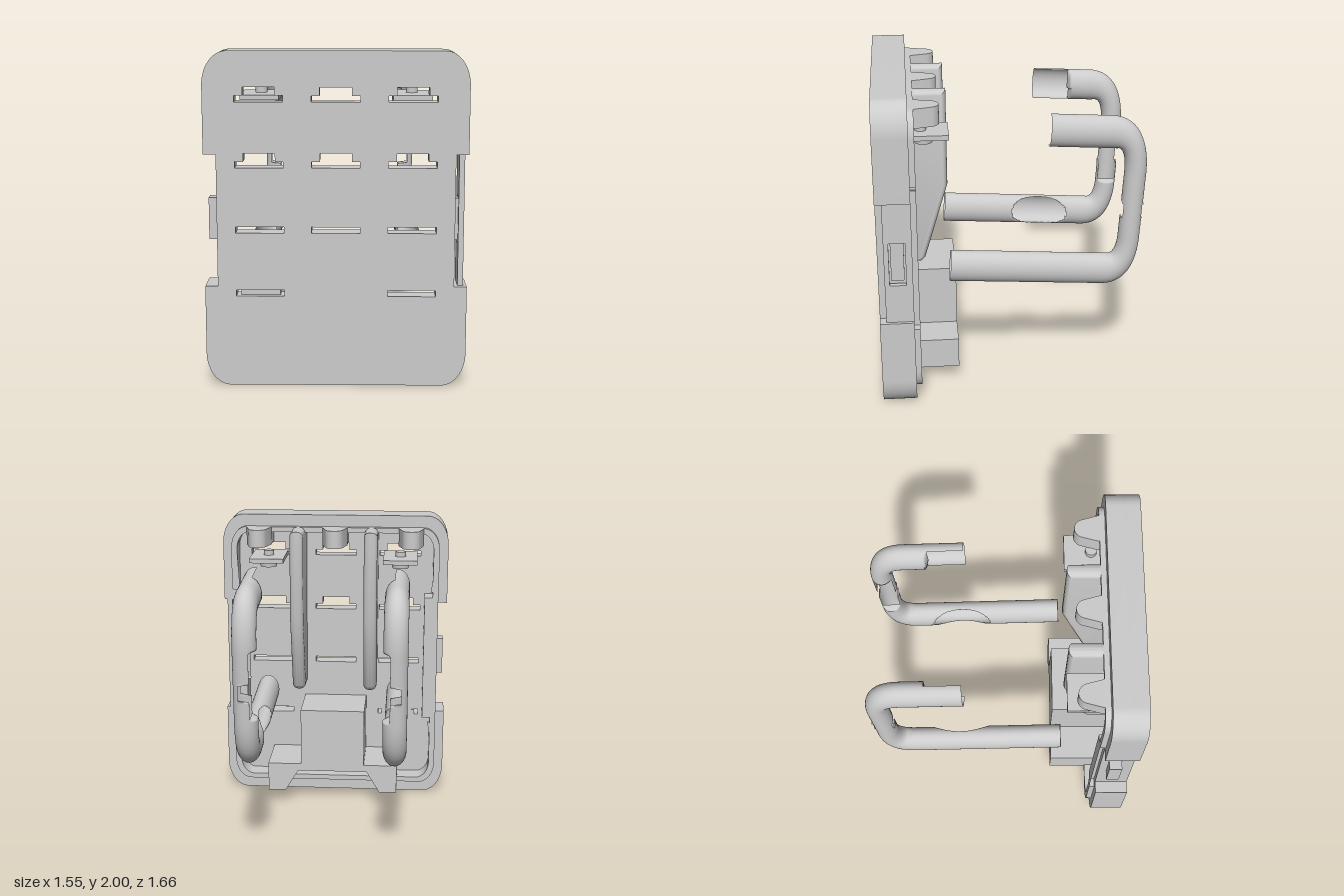
import * as THREE from 'three';
import { toCreasedNormals } from 'three/addons/utils/BufferGeometryUtils.js';

const grey = new THREE.MeshStandardMaterial({ color: 0xcccccc });
const greyOpen = new THREE.MeshStandardMaterial({ color: 0xcccccc, side: THREE.DoubleSide });

const poly = (pts) => new THREE.Shape(pts.map(([x, y]) => new THREE.Vector2(x, y)));
const rect = (x0, x1, y0, y1) => poly([[x0, y0], [x1, y0], [x1, y1], [x0, y1]]);

function extrude(shape, depth, opts = {}) {
  const g = new THREE.ExtrudeGeometry(shape, { depth, bevelEnabled: false, curveSegments: 14, ...opts });
  return toCreasedNormals(g, 0.5);
}

// Rounded rectangle whose long sides step in to x = nx between n0 and n1
function panelShape(w, y0, y1, rx, ry, [nx, n0, n1]) {
  const s = new THREE.Shape();
  s.moveTo(-w + rx, y0);
  s.lineTo(w - rx, y0);
  s.absellipse(w - rx, y0 + ry, rx, ry, -Math.PI / 2, 0);
  for (const [x, y] of [[w, n0], [nx, n0], [nx, n1], [w, n1]]) s.lineTo(x, y);
  s.absellipse(w - rx, y1 - ry, rx, ry, 0, Math.PI / 2);
  s.absellipse(-w + rx, y1 - ry, rx, ry, Math.PI / 2, Math.PI);
  for (const [x, y] of [[-w, n1], [-nx, n1], [-nx, n0], [-w, n0]]) s.lineTo(x, y);
  s.absellipse(-w + rx, y0 + ry, rx, ry, Math.PI, Math.PI * 1.5);
  return s;
}

// Everything on a handle with x below this limit is cut away
function handleCut(y, z, alongZ) {
  if (!alongZ) {
    if (y > 1.12 && y < 1.22) return 0.483;
    return y > 1.0 && y < 1.42 ? 0.415 : 0;
  }
  if (y > 1.3) return z > -0.46 ? 0.43 : 0;
  const d = z + 0.27, r = 0.356;
  return Math.abs(d) < r ? 0.074 + Math.sqrt(r * r - d * d) : 0;
}

// Hollow handle with an oval section and cut-outs on its inner side
function handleGeometry() {
  const v = (z, y) => new THREE.Vector3(0, y, z);
  const path = new THREE.CurvePath();
  path.add(new THREE.LineCurve3(v(0.385, 0.823), v(-0.57, 0.762)));
  path.add(new THREE.QuadraticBezierCurve3(v(-0.57, 0.762), v(-0.72, 0.755), v(-0.735, 0.98)));
  path.add(new THREE.LineCurve3(v(-0.735, 0.98), v(-0.76, 1.42)));
  path.add(new THREE.QuadraticBezierCurve3(v(-0.76, 1.42), v(-0.77, 1.675), v(-0.6, 1.683)));
  path.add(new THREE.LineCurve3(v(-0.6, 1.683), v(-0.23, 1.705)));
  const rings = 220, sides = 60, cx = 0.445;
  const pos = [], cut = [], index = [];
  for (let i = 0; i <= rings; i++) {
    const p = path.getPointAt(i / rings), t = path.getTangentAt(i / rings);
    const h = 0.067 + 0.035 * t.z * t.z;
    for (let j = 0; j < sides; j++) {
      const a = (j / sides) * Math.PI * 2;
      const x = cx + 0.073 * Math.cos(a);
      const y = p.y - t.z * h * Math.sin(a), z = p.z + t.y * h * Math.sin(a);
      const limit = handleCut(y, z, Math.abs(t.z) > 0.7);
      cut.push(x < limit);
      pos.push(Math.max(x, limit), y, z);
    }
  }
  for (let i = 0; i < rings; i++) for (let j = 0; j < sides; j++) {
    const k = (j + 1) % sides;
    const a = i * sides + j, b = i * sides + k, c = a + sides, d = b + sides;
    if (cut[a] && cut[b] && cut[c] && cut[d]) continue;
    index.push(a, b, c, b, d, c);
  }
  const g = new THREE.BufferGeometry();
  g.setAttribute('position', new THREE.Float32BufferAttribute(pos, 3));
  g.setIndex(index);
  g.computeVertexNormals();
  return g;
}

export function createModel() {
  const group = new THREE.Group();
  const add = (name, geo, x = 0, y = 0, z = 0, mat = grey) => {
    const m = new THREE.Mesh(geo, mat);
    m.name = name;
    m.position.set(x, y, z);
    group.add(m);
    return m;
  };
  const box = (name, x0, x1, y0, y1, z0, z1) =>
    add(name, new THREE.BoxGeometry(x1 - x0, y1 - y0, z1 - z0), (x0 + x1) / 2, (y0 + y1) / 2, (z0 + z1) / 2);

  // Front panel with rows of stepped and plain slots
  const outline = () => panelShape(0.775, 0, 2, 0.145, 0.2, [0.7, 0.61, 1.4]);
  const face = outline();
  for (const [y, stepped, columns] of [
    [1.705, true, [-0.448, 0, 0.448]], [1.32, true, [-0.448, 0, 0.448]],
    [0.932, false, [-0.448, 0, 0.448]], [0.55, false, [-0.448, 0.448]],
  ]) for (const x of columns) {
    const top = y + 0.037;
    face.holes.push(stepped
      ? poly([[x - 0.142, y], [x + 0.142, y], [x + 0.142, top], [x + 0.093, top],
        [x + 0.093, y + 0.086], [x - 0.093, y + 0.086], [x - 0.093, top], [x - 0.142, top]])
      : rect(x - 0.142, x + 0.142, y, top));
  }
  add('frontPanel', extrude(face, 0.11), 0, 0, 0.72);

  // Side wall and the inner lip standing behind it, both stepping in at mid height
  const inner = () => panelShape(0.675, 0.115, 1.885, 0.09, 0.12, [0.62, 0.57, 1.44]);
  const rim = outline();
  rim.holes.push(inner());
  add('rim', extrude(rim, 0.1), 0, 0, 0.62);
  const lip = panelShape(0.715, 0.08, 1.92, 0.11, 0.15, [0.66, 0.53, 1.48]);
  lip.holes.push(inner());
  add('lip', extrude(lip, 0.035), 0, 0, 0.585);

  // Latch on one side, framed catch on the other
  box('latch', -0.755, -0.69, 0.88, 1.13, 0.67, 0.75);
  const catchShape = rect(0.62, 0.79, 0.61, 1.4);
  catchShape.holes.push(rect(0.66, 0.76, 0.86, 1.14));
  add('catchFrame', extrude(catchShape, 0.033).rotateY(-Math.PI / 2), 0.755);
  box('catchTab', 0.69, 0.725, 0.88, 1.13, 0.67, 0.75);

  // Rounded tabs along the top edge
  const tab = new THREE.Shape();
  tab.moveTo(-0.085, 0.73);
  tab.lineTo(-0.085, 0.58);
  tab.lineTo(-0.058, 0.48);
  tab.absarc(0, 0.495, 0.06, Math.PI + 0.25, Math.PI * 2 - 0.25);
  tab.lineTo(0.085, 0.58);
  tab.lineTo(0.085, 0.73);
  for (const x of [-0.52, 0, 0.52])
    add('topTab', extrude(tab, 0.12).rotateX(Math.PI / 2), x, 1.92);

  // Tall tapering ribs with rounded edges
  const ribShape = poly([[0.76, 1.92], [0.385, 1.92], [0.385, 1.3], [0.535, 0.8], [0.56, 0.775], [0.6, 0.772], [0.76, 0.772]]);
  const ribGeo = extrude(ribShape, 0.01, {
    bevelEnabled: true, bevelThickness: 0.04, bevelSize: 0.035, bevelOffset: -0.035, bevelSegments: 6,
  }).rotateY(-Math.PI / 2).translate(0.005, 0, 0);

  const handleGeo = handleGeometry();
  for (const s of [-1, 1]) {
    add('rib', ribGeo, s * 0.25);
    // Shelf with a pivot pin above and its head below
    add('shelf', new THREE.BoxGeometry(0.23, 0.03, 0.36), s * 0.45, 1.722, 0.56);
    add('pin', new THREE.CylinderGeometry(0.035, 0.035, 0.035, 24), s * 0.45, 1.752, 0.545);
    add('pinHead', new THREE.CylinderGeometry(0.06, 0.055, 0.05, 28), s * 0.45, 1.686, 0.53);
    add('handle', handleGeo, 0, 0, 0, greyOpen).scale.x = s;
  }
  box('slotBacking', -0.565, -0.33, 0.55, 0.585, 0.72, 0.79);

  // Lower housing: raised centre, two feet and an arched underside
  const half = [[0.22, 0.685], [0.22, 0.29], [0.45, 0.29], [0.45, 0.09], [0.33, 0.09], [0.24, 0.24]];
  const housing = poly([...half, ...half.map(([x, y]) => [-x, y]).reverse()]);
  add('housing', extrude(housing, 0.39), 0, 0, 0.34);

  // Cross-head screw under the housing
  add('screwRing', new THREE.TorusGeometry(0.07, 0.012, 8, 32).rotateX(Math.PI / 2), 0, 0.236, 0.46);
  for (const a of [0.4, 0.4 + Math.PI / 2])
    add('screwCross', new THREE.BoxGeometry(0.13, 0.02, 0.02), 0, 0.234, 0.46).rotation.y = a;

  return group;
}
